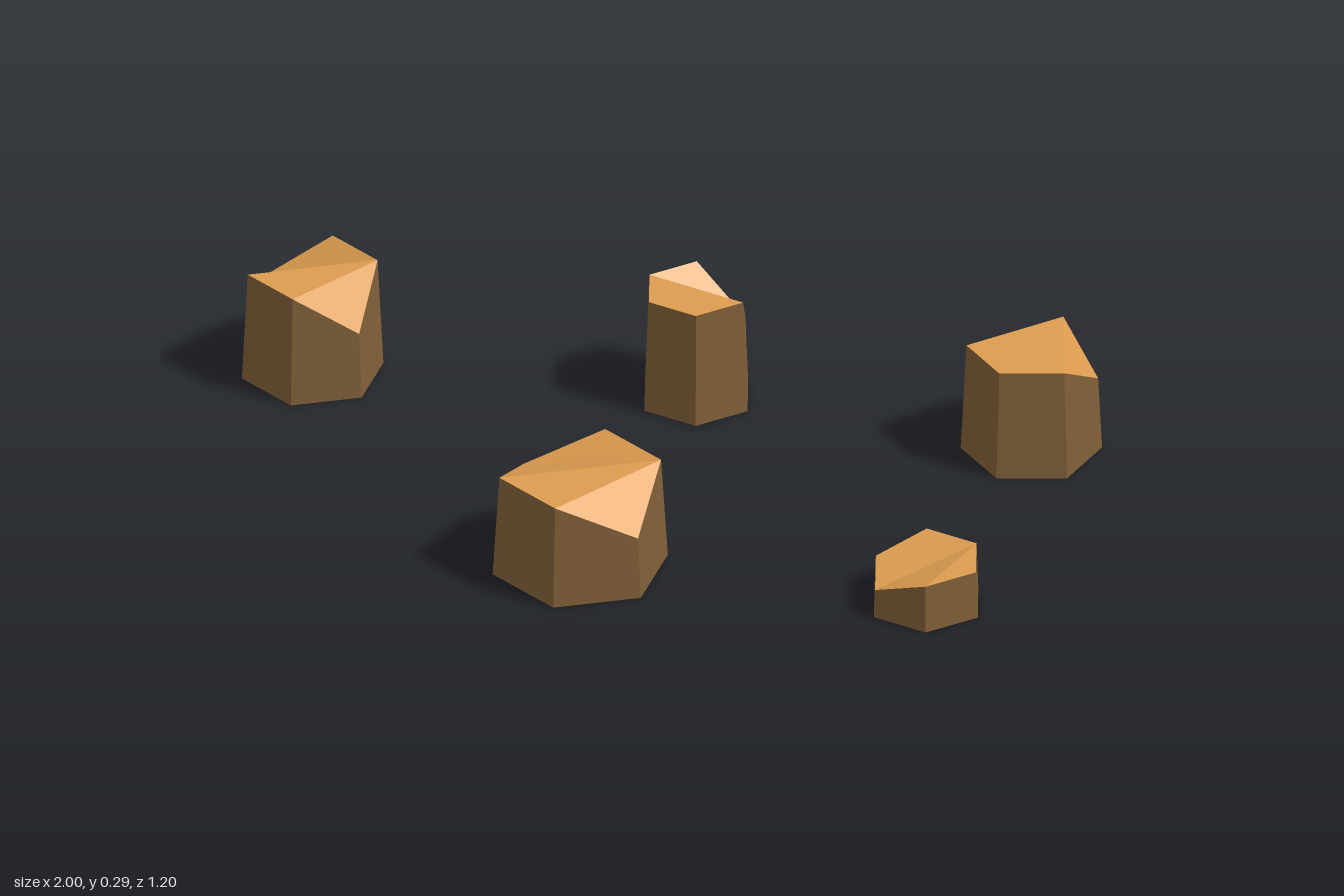
import * as THREE from 'three';

const wood = new THREE.MeshStandardMaterial({ color: 0xdd9c4f, side: THREE.DoubleSide, flatShading: true });
wood.name = 'cut wood';
const bark = new THREE.MeshStandardMaterial({ color: 0x806038, side: THREE.DoubleSide, flatShading: true });
bark.name = 'bark';

function meshFrom(points, material, name) {
  const geo = new THREE.BufferGeometry().setFromPoints(points);
  geo.computeVertexNormals();
  const mesh = new THREE.Mesh(geo, material);
  mesh.name = name;
  return mesh;
}

// Six-sided tapering stump, open below, with a jagged top fanned from one corner
function makeStump({ name, x, z, radius, turn, heights, fan }) {
  const n = heights.length;
  const corner = (i, y) => {
    const a = THREE.MathUtils.degToRad(turn + (i * 360) / n);
    const r = radius * (1 - 0.3 * y);
    return new THREE.Vector3(Math.cos(a) * r, y, Math.sin(a) * r);
  };
  const base = heights.map((h, i) => corner(i, 0));
  const rim = heights.map((h, i) => corner(i, h));

  const sides = [];
  for (let i = 0; i < n; i++) {
    const j = (i + 1) % n;
    sides.push(base[j], base[i], rim[i], base[j], rim[i], rim[j]);
  }
  const top = [];
  for (let k = 1; k < n - 1; k++) {
    top.push(rim[fan], rim[(fan + k + 1) % n], rim[(fan + k) % n]);
  }

  const stump = new THREE.Group();
  stump.name = name;
  stump.add(meshFrom(sides, bark, 'barkSides'), meshFrom(top, wood, 'brokenTop'));
  stump.position.set(x, 0, z);
  return stump;
}

// Corner heights run from the right side towards the front, then round
const stumps = [
  { name: 'rightStump', x: -0.855, z: -0.275, radius: 0.168, turn: 30,
    heights: [0.167, 0.277, 0.277, 0.19, 0.277, 0.277], fan: 5 },
  { name: 'frontStump', x: 0.005, z: 0.388, radius: 0.208, turn: 30,
    heights: [0.155, 0.257, 0.257, 0.185, 0.257, 0.257], fan: 5 },
  { name: 'backStump', x: 0.028, z: -0.432, radius: 0.138, turn: 13,
    heights: [0.288, 0.288, 0.288, 0.288, 0.288, 0.175], fan: 3 },
  { name: 'leftStump', x: 0.84, z: -0.44, radius: 0.164, turn: 42,
    heights: [0.275, 0.275, 0.275, 0.18, 0.275, 0.185], fan: 4 },
  { name: 'shortStump', x: 0.822, z: 0.312, radius: 0.139, turn: 13,
    heights: [0.12, 0.12, 0.072, 0.085, 0.12, 0.12], fan: 5 },
];

export function createModel() {
  const model = new THREE.Group();
  model.name = 'treeStumps';
  for (const s of stumps) model.add(makeStump(s));
  return model;
}
